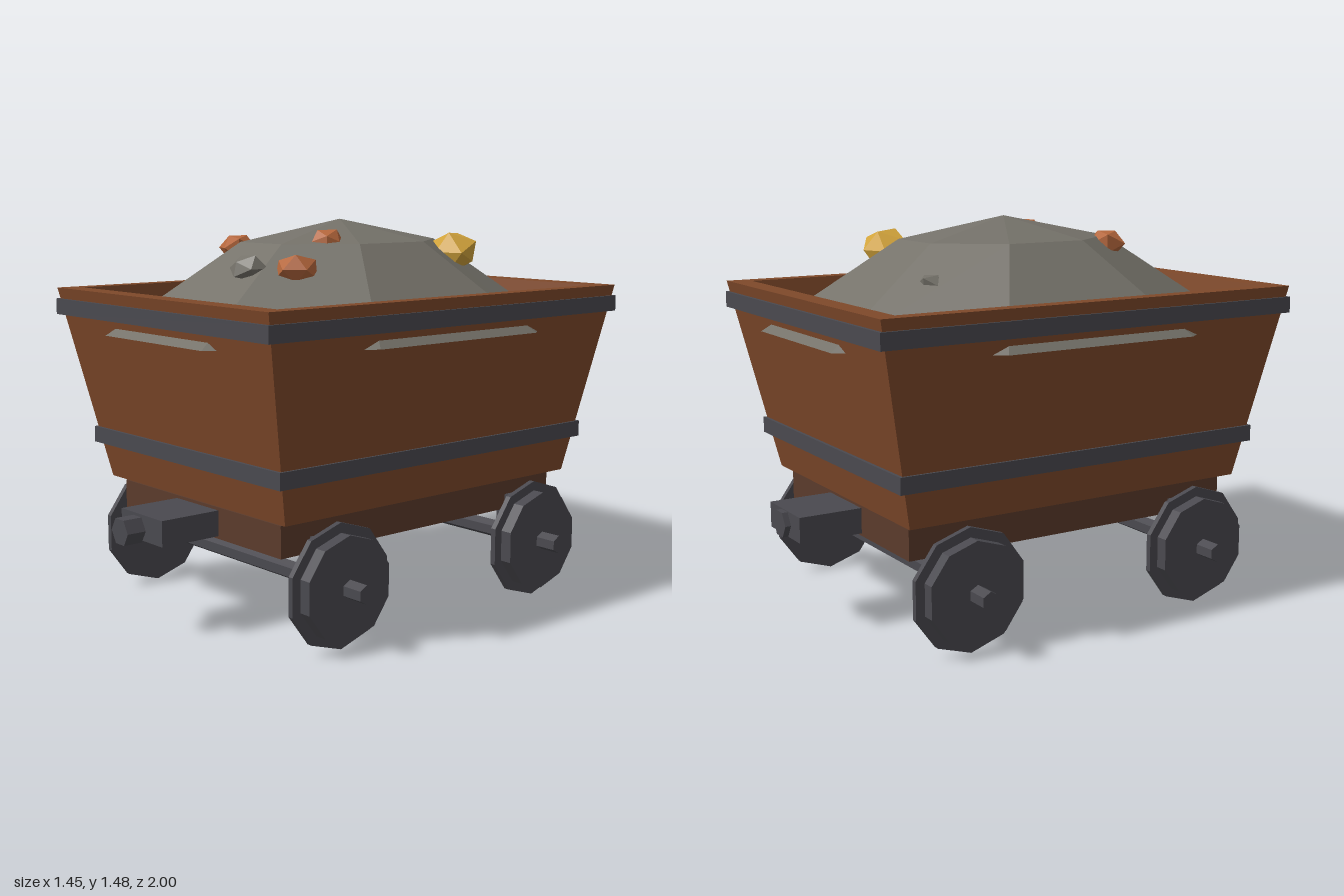
import * as THREE from 'three';

const mat = (name, color) => {
  const m = new THREE.MeshStandardMaterial({ color, flatShading: true });
  m.name = name;
  return m;
};

// Flat-faced skin over rings of [x, y, z] points, each ring counter-clockwise from above
function loft(rings, capped = true) {
  const v = [];
  const tri = (a, b, c) => v.push(...a, ...b, ...c);
  for (let k = 0; k < rings.length - 1; k++) {
    const a = rings[k], b = rings[k + 1], n = a.length;
    for (let i = 0; i < n; i++) {
      const j = (i + 1) % n;
      if (b.length === 1) { tri(a[i], a[j], b[0]); continue; }
      tri(a[i], a[j], b[j]);
      tri(a[i], b[j], b[i]);
    }
  }
  if (capped) {
    const f = rings[0], l = rings[rings.length - 1];
    for (let i = 1; i < f.length - 1; i++) tri(f[0], f[i + 1], f[i]);
    for (let i = 1; i < l.length - 1; i++) tri(l[0], l[i], l[i + 1]);
  }
  const g = new THREE.BufferGeometry();
  g.setAttribute('position', new THREE.Float32BufferAttribute(v, 3));
  g.computeVertexNormals();
  return g;
}

const rect = (x, z, y) => [[x, y, z], [x, y, -z], [-x, y, -z], [-x, y, z]];

// Stretched octagon: long corners (x1, z1) and end corners (x2, z2)
const octagon = (x1, z1, x2, z2, y) => [
  [x1, y, z1], [x1, y, -z1], [x2, y, -z2], [-x2, y, -z2],
  [-x1, y, -z1], [-x1, y, z1], [-x2, y, z2], [x2, y, z2],
];

// Prism with its axis along x or z and corners pointing up (x) or sideways (z)
function prism(radius, length, sides, axis) {
  const g = new THREE.CylinderGeometry(radius, radius, length, sides).rotateY(Math.PI / 2);
  return axis === 'x' ? g.rotateZ(Math.PI / 2) : g.rotateX(Math.PI / 2);
}

// Irregular lump
function lump(rx, ry, rz, seed) {
  const g = new THREE.IcosahedronGeometry(1, 0);
  const p = g.attributes.position;
  for (let i = 0; i < p.count; i++) {
    const x = p.getX(i), y = p.getY(i), z = p.getZ(i);
    const s = 1 + 0.13 * Math.sin(x * 5.1 + y * 7.7 + z * 3.3 + seed);
    p.setXYZ(i, x * s * rx, y * s * ry, z * s * rz);
  }
  g.rotateY(seed);
  g.computeVertexNormals();
  return g;
}

export function createModel() {
  const rust = mat('rusty brown', 0x7f492a);
  const wood = mat('dark wood', 0x5b3b2c);
  const iron = mat('iron', 0x4a494f);
  const ore = mat('grey ore', 0x75726a);
  const copper = mat('copper', 0xb5673c);
  const gold = mat('gold', 0xd4a53c);

  const root = new THREE.Group();
  root.name = 'mineCart';
  const add = (name, geo, material, x = 0, y = 0, z = 0) => {
    const m = new THREE.Mesh(geo, material);
    m.name = name;
    m.position.set(x, y, z);
    root.add(m);
  };
  const mid = -0.035;

  // Hollow hopper with sloping walls
  add('hopper', loft([
    rect(0.545, 0.72, 0.472), rect(0.663, 0.877, 1.22),
    rect(0.603, 0.795, 1.22), rect(0.475, 0.635, 0.55),
  ]), rust, 0, 0, mid);

  // Iron straps around the hopper
  const strap = (name, x, z, y0, y1, t) => add(name, loft([
    rect(x, z, y0), rect(x, z, y1), rect(x - t, z - t, y1), rect(x - t, z - t, y0), rect(x, z, y0),
  ], false), iron, 0, 0, mid);
  strap('upperStrap', 0.667, 0.881, 1.117, 1.178, 0.035);
  strap('lowerStrap', 0.586, 0.774, 0.61, 0.672, 0.045);

  // Heap of ore
  add('oreHeap', loft([
    octagon(0.672, 0.4, 0.305, 0.885, 1.063),
    octagon(0.3, 0.163, 0.125, 0.392, 1.4),
    [[0, 1.483, 0]],
  ]), ore, 0, 0, mid);

  // Nuggets on the heap
  add('copperNugget', lump(0.073, 0.062, 0.073, 1), copper, -0.19, 1.375, 0.32);
  add('copperNugget', lump(0.077, 0.062, 0.08, 2.4), copper, 0.245, 1.317, 0.385);
  add('copperNugget', lump(0.062, 0.045, 0.064, 4), copper, 0.18, 1.408, 0.185);
  add('goldNugget', lump(0.105, 0.08, 0.108, 5.2), gold, 0.248, 1.352, -0.415);
  add('stone', lump(0.085, 0.052, 0.068, 3.1), ore, 0.095, 1.317, 0.49);
  add('stone', lump(0.06, 0.05, 0.06, 0.5), ore, -0.235, 1.262, -0.485);

  // Chassis
  add('chassis', new THREE.BoxGeometry(0.98, 0.118, 1.39), wood, 0, 0.4, mid);

  // Couplers at both ends
  for (const s of [1, -1]) {
    add('couplerBlock', new THREE.BoxGeometry(0.262, 0.096, 0.245), iron, 0, 0.401, mid + s * 0.8205);
    add('couplerPin', prism(0.053, 0.075, 6, 'z'), iron, 0, 0.4, s * 0.9625);
  }

  // Axles, brackets and flanged wheels
  for (const z of [0.47, -0.54]) {
    add('axle', prism(0.035, 1.445, 6, 'x'), iron, 0, 0.23, z);
    for (const s of [1, -1]) {
      add('axleBracket', new THREE.BoxGeometry(0.068, 0.15, 0.12), iron, s * 0.481, 0.325, z);
      add('wheelFlange', prism(0.23, 0.022, 10, 'x'), iron, s * 0.577, 0.23, z);
      add('wheelTread', prism(0.193, 0.06, 10, 'x'), iron, s * 0.606, 0.23, z);
    }
  }
  return root;
}
